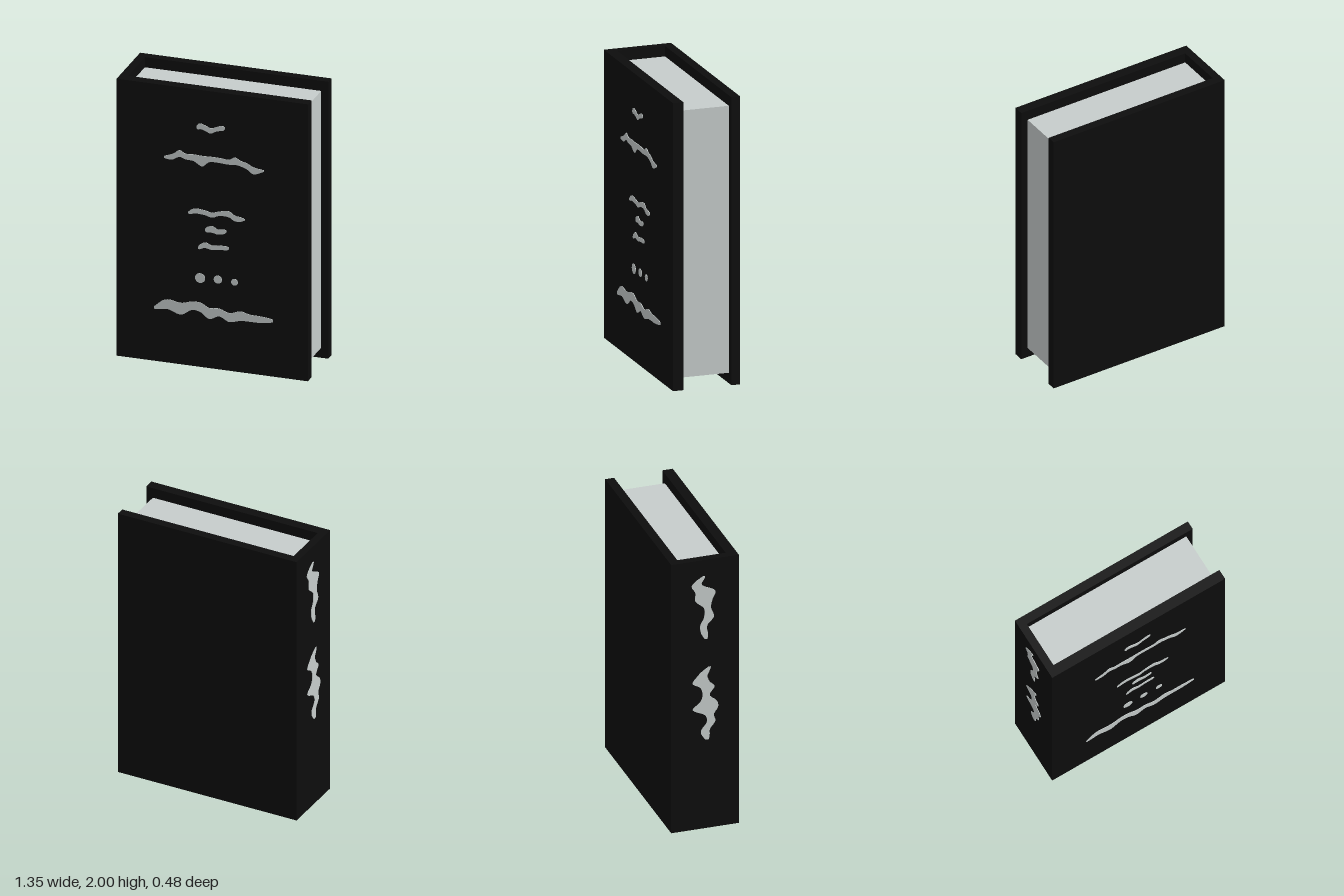
import * as THREE from 'three';

const cover = new THREE.MeshStandardMaterial({ color: 0x0d0d0d });
cover.name = 'black cover';
const pale = new THREE.MeshStandardMaterial({ color: 0xc6cccb });
pale.name = 'pale paper';

// Box between two corners
function box(name, mat, x0, x1, y0, y1, z0, z1) {
  const m = new THREE.Mesh(new THREE.BoxGeometry(x1 - x0, y1 - y0, z1 - z0), mat);
  m.position.set((x0 + x1) / 2, (y0 + y1) / 2, (z0 + z1) / 2);
  m.name = name;
  return m;
}

const plate = (shape) => new THREE.ExtrudeGeometry(shape, { depth: 0.004, bevelEnabled: false, curveSegments: 10 });

// Wavy plate along points [x, y, half width]; upright strokes widen sideways
function stroke(points, upright = false) {
  const curve = new THREE.CatmullRomCurve3(points.map((p) => new THREE.Vector3(...p)));
  const n = 48, a = [], b = [];
  for (let i = 0; i <= n; i++) {
    const p = curve.getPoint(i / n);
    const end = Math.min(i, n - i) / 3;
    const w = p.z * (end < 1 ? Math.sqrt(0.12 + 0.88 * end) : 1);
    const dx = upright ? w : 0, dy = upright ? 0 : w;
    a.push(new THREE.Vector2(p.x + dx, p.y + dy));
    b.unshift(new THREE.Vector2(p.x - dx, p.y - dy));
  }
  return plate(new THREE.Shape([...a, ...b]));
}

function dot(x, y, r) {
  return plate(new THREE.Shape().absarc(x, y, r, 0, Math.PI * 2));
}

export function createModel() {
  const book = new THREE.Group();
  book.name = 'book';

  // Boards, spine and page block
  book.add(
    box('frontCover', cover, -0.675, 0.675, 0, 2, 0.163, 0.236),
    box('backCover', cover, -0.675, 0.675, 0, 2, -0.24, -0.178),
    box('spine', cover, -0.675, -0.62, 0, 2, -0.178, 0.163),
    box('pages', pale, -0.62, 0.625, 0.073, 1.927, -0.178, 0.163),
  );

  // Wavy marks on the front
  const frontMarks = new THREE.Group();
  frontMarks.name = 'frontMarks';
  const rows = [
    [[-0.11, 1.73, 0.02], [-0.08, 1.738, 0.02], [-0.05, 1.73, 0.02], [-0.01, 1.715, 0.019], [0.03, 1.732, 0.016],
      [0.06, 1.742, 0.018], [0.09, 1.745, 0.014]],
    [[-0.34, 1.482, 0.018], [-0.28, 1.492, 0.02], [-0.23, 1.522, 0.024], [-0.19, 1.506, 0.02], [-0.13, 1.505, 0.024],
      [-0.07, 1.488, 0.038], [-0.02, 1.508, 0.02], [0.05, 1.51, 0.018], [0.12, 1.507, 0.018], [0.16, 1.52, 0.026],
      [0.2, 1.508, 0.02], [0.25, 1.492, 0.022], [0.29, 1.468, 0.025], [0.365, 1.476, 0.016]],
    [[-0.17, 1.103, 0.015], [-0.12, 1.122, 0.018], [-0.05, 1.118, 0.017], [0, 1.108, 0.018], [0.05, 1.125, 0.016],
      [0.12, 1.13, 0.022], [0.16, 1.106, 0.02], [0.23, 1.105, 0.015]],
    [[-0.05, 0.995, 0.016], [0, 1.005, 0.024], [0.04, 0.992, 0.018], [0.1, 1.002, 0.015]],
    [[-0.1, 0.86, 0.016], [-0.05, 0.884, 0.02], [0, 0.872, 0.016], [0.05, 0.88, 0.015], [0.12, 0.882, 0.015]],
    [[-0.41, 0.385, 0.024], [-0.32, 0.422, 0.034], [-0.22, 0.402, 0.042], [-0.14, 0.435, 0.03], [-0.08, 0.43, 0.034],
      [-0.02, 0.395, 0.04], [0.05, 0.412, 0.028], [0.12, 0.385, 0.032], [0.2, 0.406, 0.034], [0.27, 0.4, 0.025],
      [0.43, 0.402, 0.028]],
  ].map((points) => stroke(points));
  const dots = [dot(-0.085, 0.642, 0.035), dot(0.04, 0.648, 0.029), dot(0.158, 0.645, 0.024)];
  for (const geometry of [...rows, ...dots]) {
    const mark = new THREE.Mesh(geometry, pale);
    mark.name = 'frontMark';
    frontMarks.add(mark);
  }
  frontMarks.position.z = 0.236;
  book.add(frontMarks);

  // Upright marks on the spine, drawn as [z, y, half width]
  const spineMarks = new THREE.Group();
  spineMarks.name = 'spineMarks';
  const columns = [
    [[-0.01, 1.88, 0.02], [-0.06, 1.82, 0.035], [0, 1.76, 0.07], [-0.01, 1.7, 0.06], [0.015, 1.64, 0.025],
      [0.025, 1.57, 0.035], [-0.012, 1.51, 0.025], [0.005, 1.41, 0.025]],
    [[0.03, 1.2, 0.025], [-0.02, 1.14, 0.035], [-0.03, 1.09, 0.06], [0.015, 1.05, 0.05], [0.005, 0.99, 0.025],
      [0.02, 0.94, 0.06], [0.0, 0.895, 0.09], [0.03, 0.84, 0.03], [0.04, 0.79, 0.03], [0.0, 0.73, 0.03],
      [0.012, 0.66, 0.03]],
  ];
  for (const points of columns) {
    const mark = new THREE.Mesh(stroke(points, true), pale);
    mark.name = 'spineMark';
    spineMarks.add(mark);
  }
  spineMarks.rotation.y = -Math.PI / 2;
  spineMarks.position.x = -0.675;
  book.add(spineMarks);

  return book;
}
